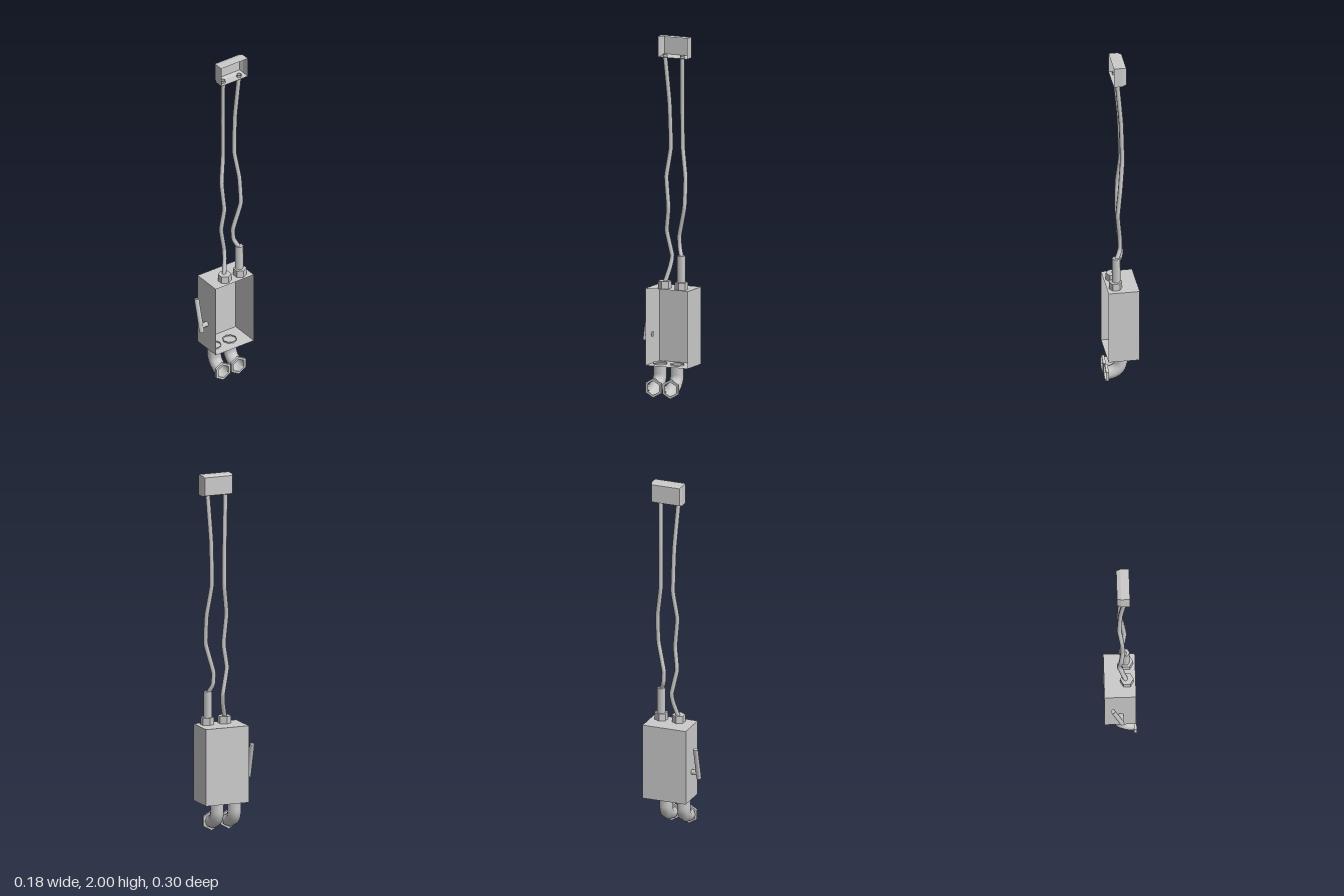
import * as THREE from 'three';

const smooth = new THREE.MeshStandardMaterial({ color: 0xcccccc, side: THREE.DoubleSide });
const flat = new THREE.MeshStandardMaterial({ color: 0xcccccc, side: THREE.DoubleSide, flatShading: true });

export function createModel() {
  const group = new THREE.Group();
  const add = (name, geometry, material, x = 0, y = 0, z = 0) => {
    const mesh = new THREE.Mesh(geometry, material);
    mesh.name = name;
    mesh.position.set(x, y, z);
    group.add(mesh);
    return mesh;
  };
  const v = (x, y, z) => new THREE.Vector3(x, y, z);

  // Thin shell with its +x side left open
  const openBox = (w, h, d, segments = 1) => {
    const g = new THREE.BoxGeometry(w, h, d, segments, 1, 1);
    g.setIndex(Array.from(g.index.array).slice(6));
    g.clearGroups();
    return g;
  };
  // Six-sided bar with corners pointing along x
  const hexBar = (r, h) => new THREE.CylinderGeometry(r, r, h, 6, 1, false, Math.PI / 2);

  // Main housing
  add('housing', openBox(0.172, 0.428, 0.254), flat, -0.004, 0.391, -0.025);

  // Top connector: shell with a bevelled back
  const cap = openBox(0.07, 0.115, 0.178, 2);
  const p = cap.attributes.position;
  for (let i = 0; i < p.count; i++) {
    if (p.getX(i) < -0.03) {
      p.setY(i, p.getY(i) - Math.sign(p.getY(i)) * 0.007);
      p.setZ(i, p.getZ(i) - Math.sign(p.getZ(i)) * 0.007);
    } else if (p.getX(i) < 0.01) p.setX(i, -0.013);
  }
  add('connectorCap', cap, flat, 0.015, 1.9425, -0.046);

  // Collars on the housing, the rear one with a tall sleeve
  for (const z of [0.01, -0.092]) add('cableCollar', hexBar(0.037, 0.042), flat, 0.034, 0.625, z);
  add('cableSleeve', hexBar(0.023, 0.15), smooth, 0.03, 0.716, -0.09);

  // Two loosely hanging cables
  const cables = {
    frontCable: [
      [0.024, 1.9, 0.013], [0, 1.63, -0.003], [-0.007, 1.38, -0.008], [0.008, 1.22, 0.012],
      [0.013, 1.05, -0.003], [0.003, 0.92, 0.012], [-0.008, 0.78, -0.016],
      [0.006, 0.72, -0.01], [0.03, 0.63, 0.012],
    ],
    rearCable: [
      [0.026, 1.9, -0.093], [0.002, 1.63, -0.082], [-0.005, 1.39, -0.081], [0.01, 1.22, -0.105],
      [0.024, 1.06, -0.105], [0.006, 0.9, -0.066], [0.006, 0.83, -0.069], [0.028, 0.78, -0.09],
    ],
  };
  for (const [name, points] of Object.entries(cables)) {
    const curve = new THREE.CatmullRomCurve3(points.map((q) => v(...q)), false, 'catmullrom', 0.15);
    add(name, new THREE.TubeGeometry(curve, 64, 0.0135, 6), smooth);
  }

  // Open elbow pipes below, each with a hexagonal flange facing +x
  const hexPath = (r, Type) => {
    const s = new Type();
    for (let i = 0; i < 6; i++) {
      const a = Math.PI / 2 + i * Math.PI / 3;
      s[i ? 'lineTo' : 'moveTo'](Math.cos(a) * r, Math.sin(a) * r);
    }
    s.closePath();
    return s;
  };
  const ring = hexPath(0.054, THREE.Shape);
  ring.holes.push(hexPath(0.04, THREE.Path));
  for (const z of [0.054, -0.049]) {
    const path = new THREE.CurvePath();
    path.add(new THREE.LineCurve3(v(-0.002, 0.185, z), v(-0.002, 0.125, z)));
    path.add(new THREE.CubicBezierCurve3(
      v(-0.002, 0.125, z), v(-0.002, 0.087, z), v(0.03, 0.056, z), v(0.074, 0.056, z)));
    add('elbowPipe', new THREE.TubeGeometry(path, 14, 0.039, 8), smooth);
    const flange = add('pipeFlange',
      new THREE.ExtrudeGeometry(ring, { depth: 0.015, bevelEnabled: false }), flat, 0.071, 0.056, z);
    flange.rotation.y = Math.PI / 2;
  }

  // Lever on the front face, with its pivot
  const pivot = add('leverPivot', hexBar(0.0145, 0.042), smooth, -0.002, 0.337, 0.119);
  pivot.rotation.x = Math.PI / 2;
  const lever = add('lever', hexBar(0.0135, 0.196), smooth, -0.02, 0.396, 0.141);
  lever.rotation.z = Math.atan2(0.05, 0.19);

  return group;
}
